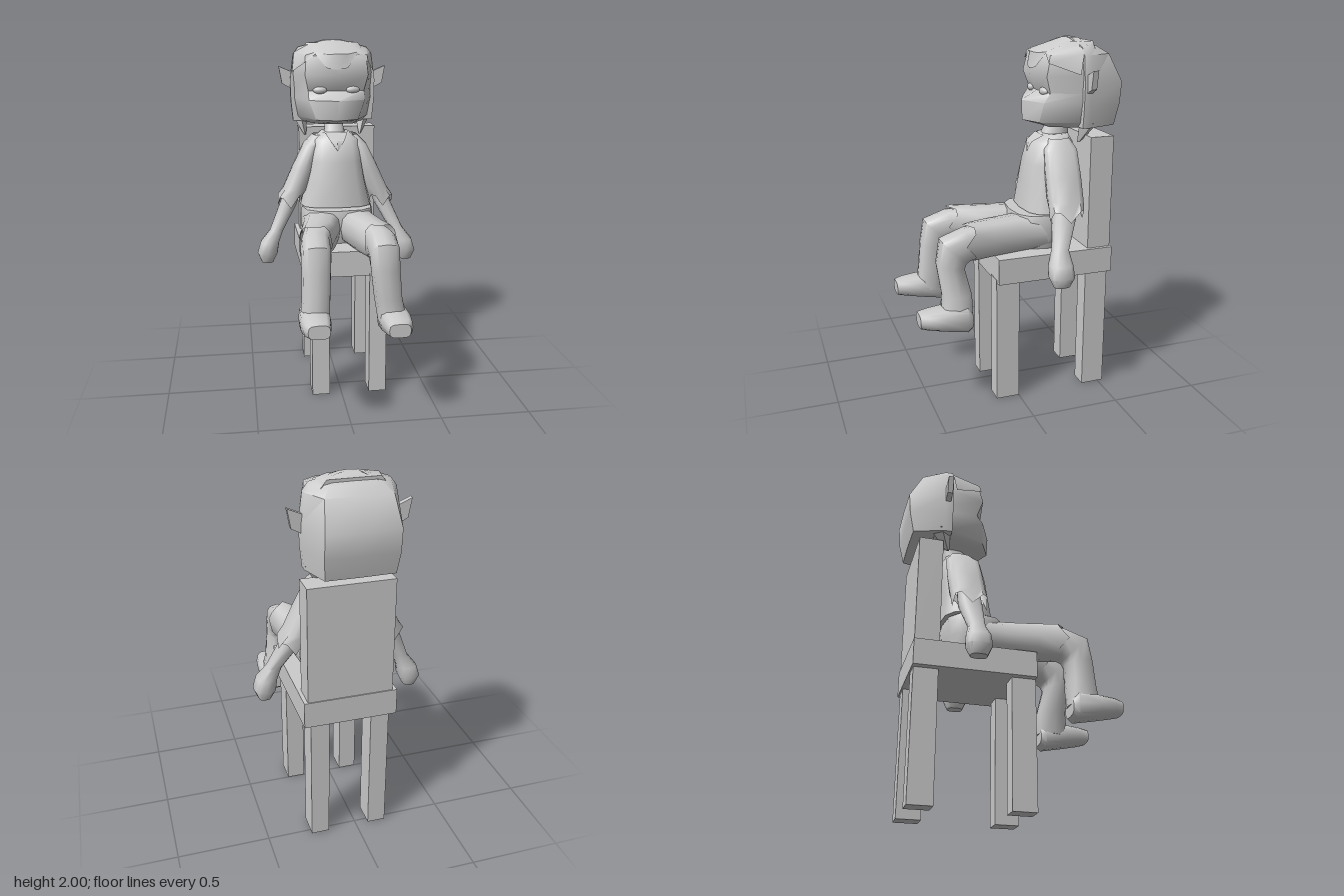
import * as THREE from 'three';
import { toCreasedNormals } from 'three/addons/utils/BufferGeometryUtils.js';

const CX = 0.015; // middle of the figure
const mat = new THREE.MeshStandardMaterial({ color: 0xcccccc });
const thinMat = new THREE.MeshStandardMaterial({ color: 0xcccccc, side: THREE.DoubleSide });

function named(mesh, name, parent) {
  mesh.name = name;
  parent.add(mesh);
  return mesh;
}

// Skin a list of rings; closed rings get end caps and are turned to face outward.
function skin(rings, { closed = true, caps = true, crease = 0.9 } = {}) {
  const n = rings[0].length, pos = rings.flat(2), idx = [];
  const last = closed ? n : n - 1;
  for (let r = 0; r < rings.length - 1; r++) {
    for (let i = 0; i < last; i++) {
      const j = (i + 1) % n, a = r * n + i, b = r * n + j;
      idx.push(a, b, b + n, a, b + n, a + n);
    }
  }
  if (closed && caps) {
    [0, rings.length - 1].forEach((r, k) => {
      const c = pos.length / 3;
      for (let d = 0; d < 3; d++) pos.push(rings[r].reduce((s, p) => s + p[d], 0) / n);
      for (let i = 0; i < n; i++) {
        const a = r * n + i, b = r * n + (i + 1) % n;
        idx.push(c, ...(k ? [a, b] : [b, a]));
      }
    });
  }
  const v = i => new THREE.Vector3(pos[i * 3], pos[i * 3 + 1], pos[i * 3 + 2]).sub(v0);
  const v0 = new THREE.Vector3(...rings[0][0]);
  let vol = 0;
  for (let t = 0; t < idx.length; t += 3) vol += v(idx[t]).dot(v(idx[t + 1]).cross(v(idx[t + 2])));
  if (vol < 0) idx.reverse();
  const geo = new THREE.BufferGeometry();
  geo.setAttribute('position', new THREE.Float32BufferAttribute(pos, 3));
  geo.setIndex(idx);
  return toCreasedNormals(geo, crease);
}

// Rounded-square rings. Row: centre x, y, z, half width, half depth, tilt
// (0 = depth runs up, 90 = depth runs forward).
function ringsOf(rows, sides = 12, power = 0.7) {
  const sq = c => Math.sign(c) * Math.abs(c) ** power;
  return rows.map(([x, y, z, w, d, tilt = 90]) => {
    const t = THREE.MathUtils.degToRad(tilt);
    return Array.from({ length: sides }, (_, i) => {
      const a = (i / sides) * Math.PI * 2, s = d * sq(Math.sin(a));
      return [x + w * sq(Math.cos(a)), y + s * Math.cos(t), z + s * Math.sin(t)];
    });
  });
}
const limb = (rows, sides, power) => new THREE.Mesh(skin(ringsOf(rows, sides, power)), mat);

// Open cloth sleeve whose last ring is cut in zigzags along one axis.
function cloth(rows, axis, zig) {
  const rings = ringsOf(rows);
  rings[rings.length - 1].forEach((p, i) => { p[axis] += i % 3 === 0 ? zig : -zig * 0.5; });
  return new THREE.Mesh(skin(rings, { caps: false }), thinMat);
}

// Symmetrical horizontal section from half its outline.
function section(y, half) {
  const right = half.map(([x, z]) => [CX + x, y, z]);
  const left = half.slice(1, -1).reverse().map(([x, z]) => [CX - x, y, z]);
  return [...right, ...left];
}

function buildChair() {
  const chair = new THREE.Group();
  chair.name = 'chair';
  const box = (name, w, h, d, x, y, z) =>
    named(new THREE.Mesh(new THREE.BoxGeometry(w, h, d), mat), name, chair).position.set(x, y, z);
  box('seat', 0.505, 0.145, 0.67, 0.043, 0.787, -0.205);
  box('backrest', 0.46, 0.64, 0.135, 0.045, 1.17, -0.467);
  for (const x of [-0.12, 0.21]) {
    box('frontLeg', 0.1, 0.73, 0.133, x, 0.365, 0.066);
    box('backLeg', 0.1, 0.73, 0.133, x, 0.365, -0.465);
  }
  return chair;
}

function buildHead() {
  const head = new THREE.Group();
  head.name = 'head';
  // face: y, front z, corner x, corner z, side x
  const face = [
    [1.53, -0.2, 0.1, -0.22, 0.18], [1.56, -0.1, 0.12, -0.155, 0.21],
    [1.67, -0.095, 0.16, -0.165, 0.23], [1.72, -0.185, 0.16, -0.2, 0.228],
    [1.81, -0.14, 0.18, -0.17, 0.235], [1.915, -0.165, 0.17, -0.195, 0.21],
    [1.985, -0.33, 0.1, -0.33, 0.15],
  ].map(([y, zf, wc, zc, ws]) => section(y, [[0, zf], [wc, zc], [ws, -0.37], [ws * 0.9, -0.45], [0, -0.45]]));
  named(new THREE.Mesh(skin(face), mat), 'face', head);
  // hair: y, side x, back corner x, back z
  const hair = [
    [1.535, 0.235, 0.18, -0.57], [1.65, 0.247, 0.19, -0.595], [1.77, 0.25, 0.19, -0.605],
    [1.92, 0.23, 0.17, -0.53], [1.96, 0.2, 0.13, -0.47], [2.0, 0.05, 0.04, -0.38],
  ].map(([y, ws, wb, zb]) => section(y, [[0, -0.35], [ws, -0.36], [ws, -0.4], [wb, zb], [0, zb - 0.003]]));
  named(new THREE.Mesh(skin(hair, { crease: 0.8 }), mat), 'hair', head);
  // fringe with a middle point and two side points
  const row = half => [...half.slice(1).reverse().map(([x, y, z]) => [CX - x, y, z]), ...half.map(([x, y, z]) => [CX + x, y, z])];
  const fringe = [
    row([[0, 1.84, -0.14], [0.06, 1.85, -0.15], [0.12, 1.925, -0.185], [0.18, 1.88, -0.18], [0.24, 1.82, -0.34]]),
    row([[0, 1.925, -0.158], [0.06, 1.925, -0.165], [0.12, 1.935, -0.19], [0.175, 1.92, -0.19], [0.225, 1.93, -0.36]]),
    row([[0, 2.0, -0.35], [0.06, 1.995, -0.35], [0.1, 1.985, -0.35], [0.15, 1.97, -0.35], [0.2, 1.955, -0.36]]),
  ];
  named(new THREE.Mesh(skin(fringe, { closed: false }), thinMat), 'fringe', head);
  for (const s of [-1, 1]) {
    const shape = new THREE.Shape([[0.2, 1.82], [0.245, 1.82], [0.315, 1.85], [0.297, 1.75], [0.24, 1.72], [0.2, 1.73]]
      .map(([x, y]) => new THREE.Vector2(CX + s * x, y)));
    const ear = named(new THREE.Mesh(new THREE.ExtrudeGeometry(shape, { depth: 0.03, bevelEnabled: false }), mat), 'ear', head);
    ear.position.z = -0.405;
    const eye = named(new THREE.Mesh(new THREE.SphereGeometry(1, 12, 8), mat), 'eye', head);
    eye.scale.set(0.04, 0.021, 0.02);
    eye.position.set(CX + s * 0.095, 1.725, -0.187);
    eye.rotation.y = s * 0.15;
    named(limb([[CX + s * 0.19, 1.56, -0.42, 0.045, 0.06], [CX + s * 0.165, 1.45, -0.37, 0.006, 0.01]], 4, 1), 'hairLock', head);
  }
  return head;
}

function buildBody() {
  const body = new THREE.Group();
  body.name = 'body';
  named(limb([[CX, 1.58, -0.33, 0.055, 0.065], [CX, 1.5, -0.3, 0.055, 0.07], [CX, 1.43, -0.28, 0.075, 0.085]]), 'neck', body);
  named(limb([
    [CX, 1.48, -0.285, 0.085, 0.075], [CX, 1.44, -0.265, 0.135, 0.115], [CX, 1.32, -0.25, 0.155, 0.13],
    [CX, 1.2, -0.237, 0.175, 0.133], [CX, 1.06, -0.23, 0.21, 0.145],
  ]), 'shirt', body);
  // open neckline
  const collar = [[0.065, 1.478, -0.205], [0.04, 1.44, -0.144], [0.002, 1.385, -0.132]]
    .map(([x, y, z]) => [[CX - x, y, z], [CX, y, z + 0.003], [CX + x, y, z]]);
  named(new THREE.Mesh(skin(collar, { closed: false }), thinMat), 'neckline', body);
  named(limb([
    [CX, 1.055, -0.19, 0.205, 0.165], [CX, 1.02, -0.19, 0.212, 0.172],
    [CX, 0.94, -0.185, 0.21, 0.165], [CX, 0.86, -0.19, 0.19, 0.15],
  ]), 'shortsSeat', body);
  return body;
}

// dz and dy shift the hand
function buildArm(s, dz, dy) {
  const arm = new THREE.Group(), x = o => CX + s * o;
  arm.name = s > 0 ? 'leftArm' : 'rightArm';
  named(cloth([
    [x(0.09), 1.465, -0.28, 0.04, 0.06], [x(0.135), 1.41, -0.275, 0.05, 0.095], [x(0.19), 1.27, -0.27, 0.065, 0.1],
    [x(0.24), 1.15, -0.265, 0.07, 0.1], [x(0.272), 1.085, -0.26, 0.07, 0.095],
  ], 1, -0.04), 'sleeve', arm);
  named(limb([
    [x(0.23), 1.2, -0.265, 0.045, 0.06], [x(0.28), 1.06, -0.26 + dz * 0.3, 0.05, 0.065],
    [x(0.355), 0.9 + dy, -0.24 + dz * 0.8, 0.04, 0.045], [x(0.395), 0.83 + dy, -0.24 + dz, 0.055, 0.065],
    [x(0.41), 0.765 + dy, -0.24 + dz, 0.06, 0.07], [x(0.412), 0.71 + dy, -0.24 + dz, 0.035, 0.045],
  ]), 'forearmAndHand', arm);
  return arm;
}

// dx, dy, dz shift the foot
function buildLeg(s, dx, dy, dz) {
  const leg = new THREE.Group(), x = o => CX + s * o;
  leg.name = s > 0 ? 'leftLeg' : 'rightLeg';
  named(cloth([
    [x(0.105), 0.95, -0.25, 0.1, 0.09, 0], [x(0.11), 0.95, -0.02, 0.108, 0.1, 0],
    [x(0.145), 0.95, 0.14, 0.1, 0.1, 0], [x(0.178), 0.95, 0.27, 0.088, 0.102, 0],
  ], 2, 0.035), 'shortsLeg', leg);
  named(limb([
    [x(0.14), 0.945, 0.1, 0.085, 0.088, 0], [x(0.178), 0.94, 0.28, 0.08, 0.09, 8],
    [x(0.182), 0.91, 0.36, 0.08, 0.1, 45], [x(0.185), 0.83, 0.378, 0.078, 0.077, 80],
    [x(0.188 + dx / 2), 0.7 + dy, 0.385 + dz, 0.076, 0.082, 90], [x(0.195 + dx), 0.57 + dy, 0.395 + dz, 0.08, 0.088, 95],
  ]), 'kneeAndShin', leg);
  named(limb([
    [x(0.2 + dx), 0.56 + dy, 0.315 + dz, 0.065, 0.045, 0], [x(0.2 + dx), 0.57 + dy, 0.345 + dz, 0.08, 0.078, 0],
    [x(0.2 + dx), 0.58 + dy, 0.47 + dz, 0.083, 0.062, 0], [x(0.2 + dx), 0.585 + dy, 0.56 + dz, 0.073, 0.048, 0],
    [x(0.195 + dx), 0.585 + dy, 0.605 + dz, 0.058, 0.038, 0],
  ], 12, 0.6), 'foot', leg);
  return leg;
}

export function createModel() {
  const model = new THREE.Group();
  model.name = 'seatedFigure';
  const figure = new THREE.Group();
  figure.name = 'figure';
  figure.add(
    buildHead(), buildBody(),
    buildArm(-1, 0, 0), buildArm(1, 0.06, 0.01),
    buildLeg(-1, 0, 0, 0), buildLeg(1, 0.035, -0.03, -0.035),
  );
  model.add(buildChair(), figure);
  return model;
}
